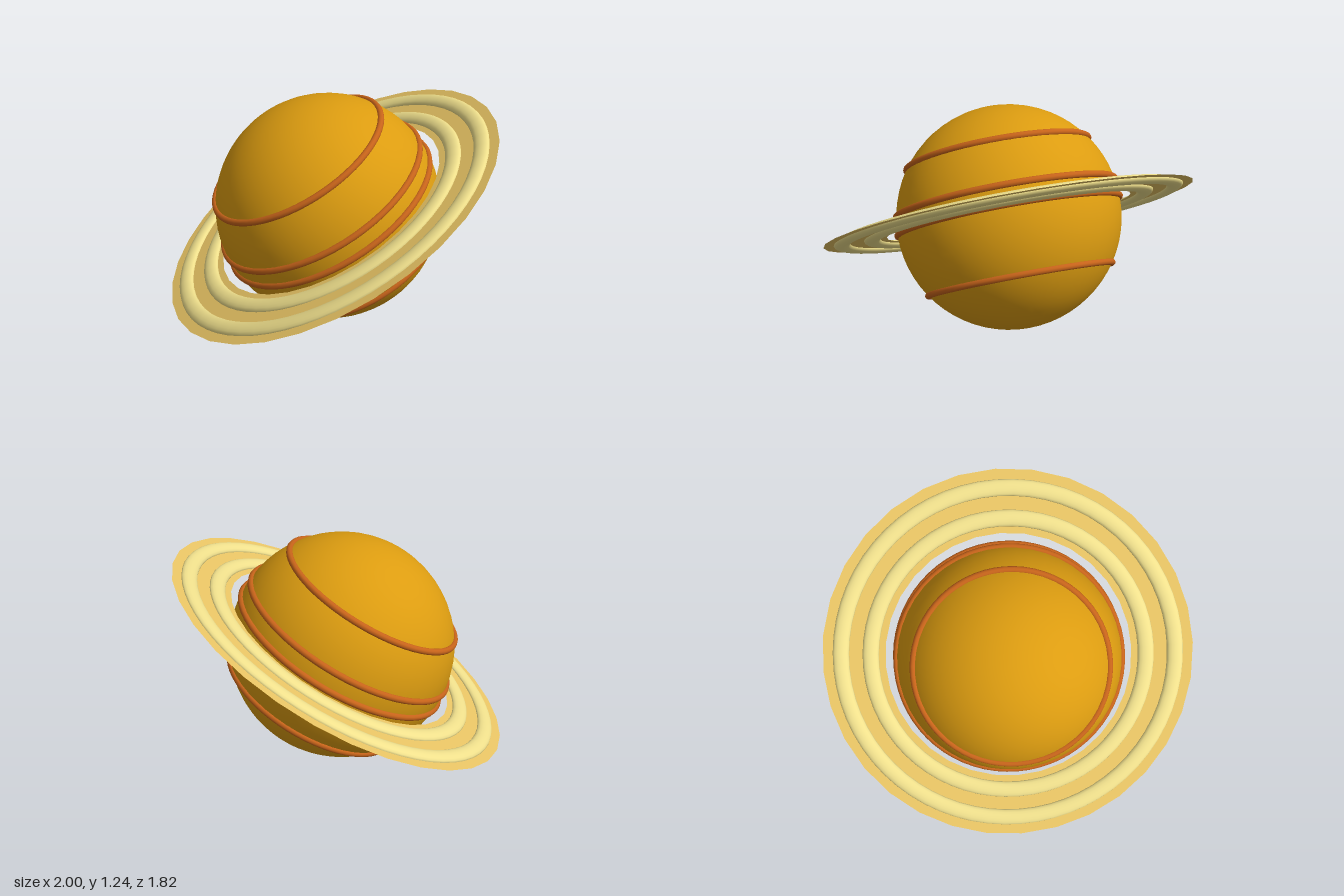
import * as THREE from 'three';

const paint = (color, side = THREE.FrontSide) => new THREE.MeshStandardMaterial({ color, side });

export function createModel() {
  const planet = new THREE.Group();
  planet.name = 'ringedPlanet';

  const add = (name, geometry, material) => {
    const mesh = new THREE.Mesh(geometry, material);
    mesh.name = name;
    planet.add(mesh);
    return mesh;
  };

  // Globe
  const R = 0.62;
  add('globe', new THREE.SphereGeometry(R, 48, 32), paint(0xdc9c10));

  // Raised cloud bands, each a circle of latitude on the globe
  const bandMaterial = paint(0xc8641a);
  [0.35, 0.1, 0, -0.35].forEach((height, i) => {
    const radius = Math.sqrt(R * R - height * height);
    const geometry = new THREE.TorusGeometry(radius, 0.018, 10, 64).rotateX(Math.PI / 2);
    add(`cloudBand${i + 1}`, geometry, bandMaterial).position.y = height;
  });

  // Thin flat ring disc
  add('ringDisc', new THREE.RingGeometry(0.68, 1.024, 32).rotateX(-Math.PI / 2),
    paint(0xe8c464, THREE.DoubleSide));

  // Flattened rounded ridges on both faces of the disc
  const ridgeMaterial = paint(0xf0e08c);
  [0.76, 0.923].forEach((radius, i) => {
    const geometry = new THREE.TorusGeometry(radius, 0.045, 16, 64)
      .scale(1, 1, 0.52).rotateX(Math.PI / 2);
    add(`ringRidge${i + 1}`, geometry, ridgeMaterial);
  });

  // Tilt of the planet's axis
  planet.rotation.set(0.478, 0, 0.217);
  planet.position.y = R;

  const model = new THREE.Group();
  model.name = 'model';
  model.add(planet);
  return model;
}
